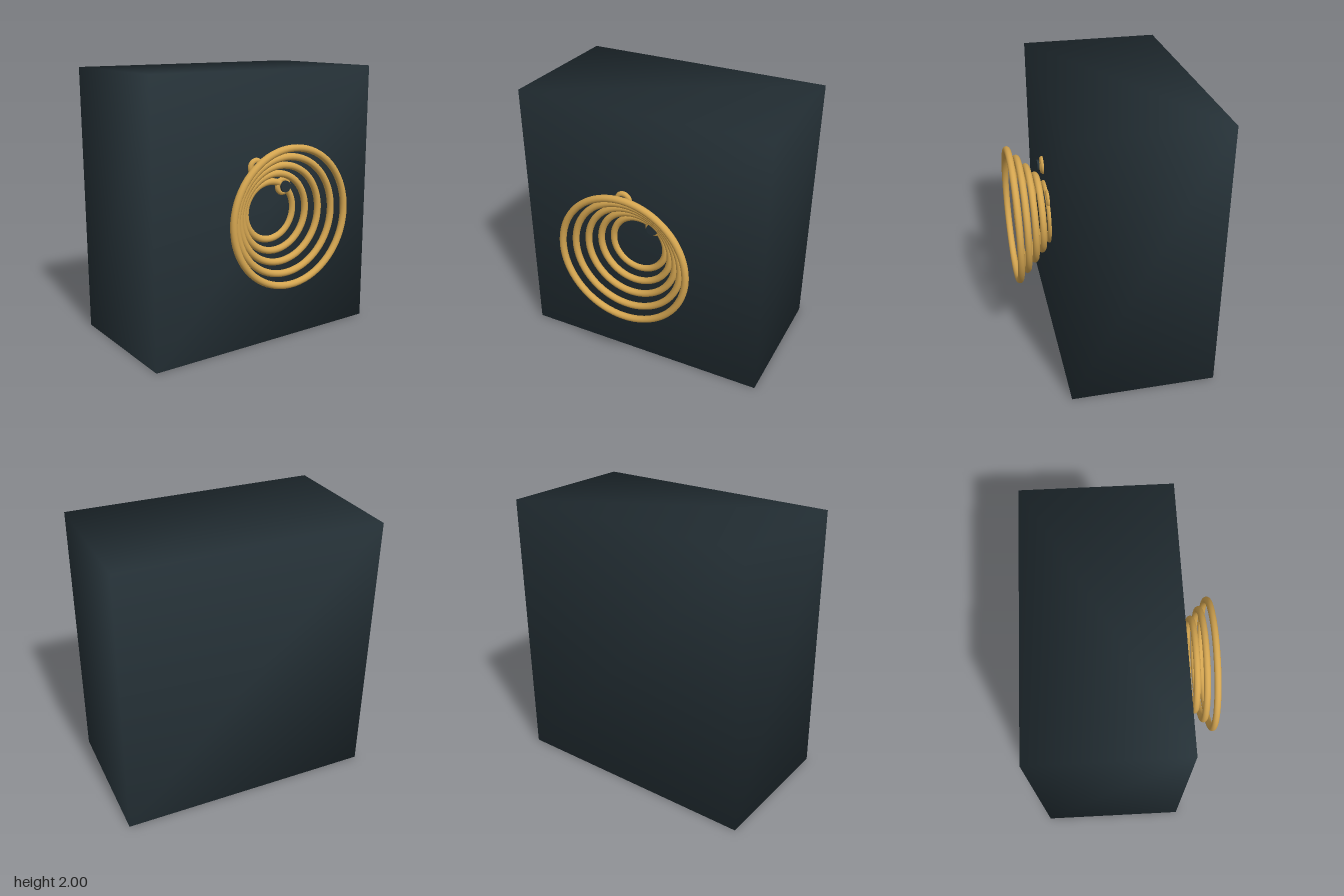
import * as THREE from 'three';
import { mergeVertices } from 'three/addons/utils/BufferGeometryUtils.js';

export function createModel() {
  const model = new THREE.Group();
  const slate = new THREE.MeshStandardMaterial({ color: 0x263238 });
  slate.name = 'dark slate';
  const gold = new THREE.MeshStandardMaterial({ color: 0xd4a550 });
  gold.name = 'gold';

  const add = (name, geometry, material, x, y, z, parent = model) => {
    const mesh = new THREE.Mesh(geometry, material);
    mesh.name = name;
    mesh.position.set(x, y, z);
    parent.add(mesh);
    return mesh;
  };

  // Cabinet: eight shared corners, so the shading runs smoothly round the edges
  let box = new THREE.BoxGeometry(1.89, 2, 1.05);
  box.deleteAttribute('normal');
  box.deleteAttribute('uv');
  box = mergeVertices(box);
  box.computeVertexNormals();
  add('cabinet', box, slate, 0, 1, -0.14);

  // Horn: separate rings widening towards the front
  const horn = new THREE.Group();
  horn.name = 'hornRings';
  model.add(horn);
  for (let i = 0; i < 5; i++) {
    const ring = new THREE.TorusGeometry(0.21 + i * 0.0685, 0.025, 16, 72);
    add('hornRing' + (i + 1), ring, gold, 0, 1.003, 0.387 + i * 0.0633, horn);
  }

  // Two knobs: a gold collar with a dark cap floating just in front
  for (const [side, x, y] of [['right', -0.12, 1.33], ['left', 0.12, 1.17]]) {
    const knob = new THREE.Group();
    knob.name = side + 'Knob';
    knob.position.set(x, y, 0);
    model.add(knob);
    add('collar', new THREE.TorusGeometry(0.047, 0.021, 12, 32), gold, 0, 0, 0.387, knob);
    const cap = new THREE.CylinderGeometry(0.042, 0.042, 0.015, 32).rotateX(Math.PI / 2);
    add('cap', cap, slate, 0, 0, 0.422, knob);
  }
  return model;
}
